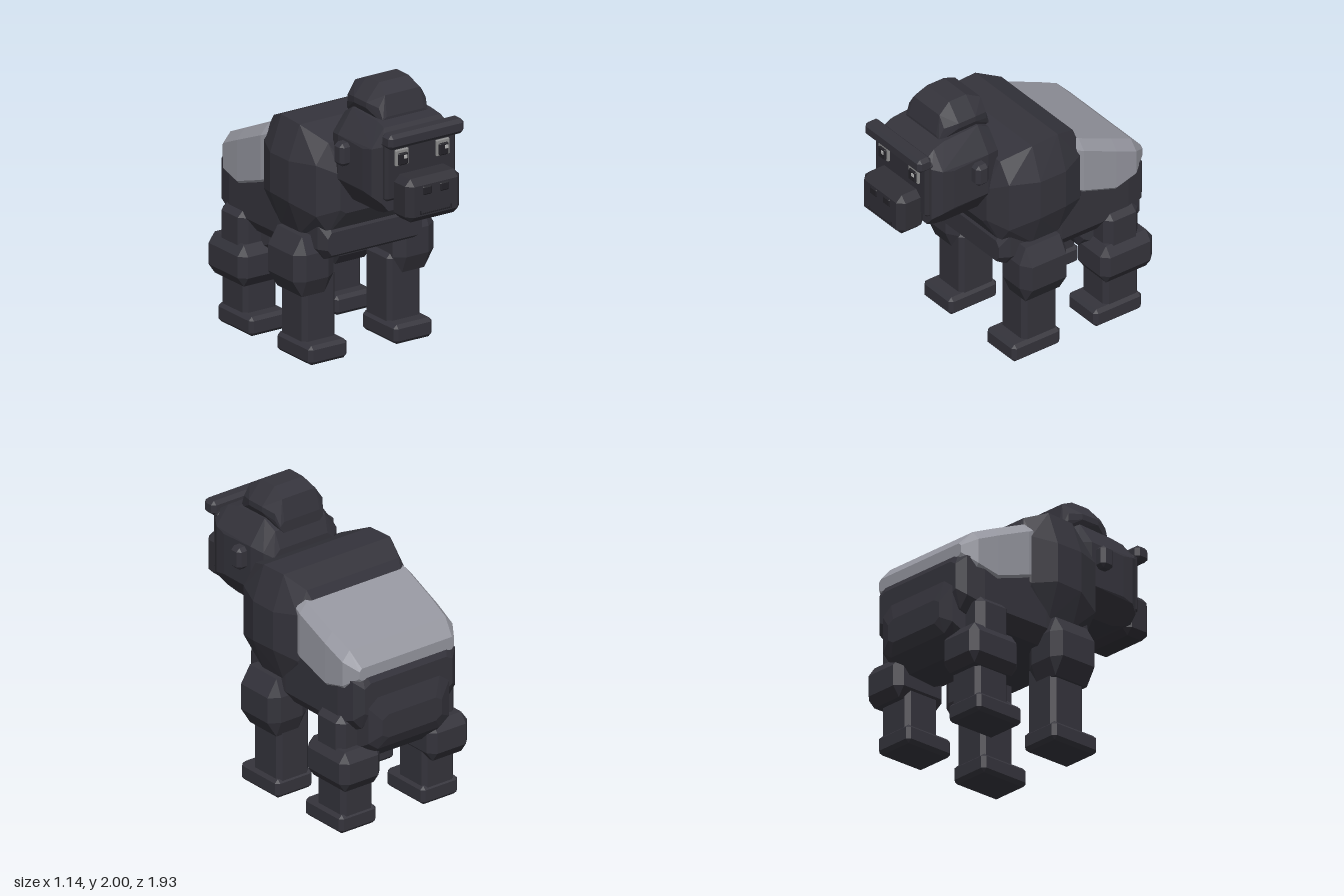
import * as THREE from 'three';
import { ConvexGeometry } from 'three/addons/geometries/ConvexGeometry.js';

const mat = (name, color) => new THREE.MeshStandardMaterial({ name, color });

// Faceted solid from octagonal sections [z, halfWidth, yBottom, yTop, cutX, cutY]
function loft(sections) {
  const pts = [];
  for (const [z, w, y0, y1, cx, cy] of sections) {
    for (const s of [-1, 1]) {
      pts.push(
        new THREE.Vector3(s * w, y0 + cy, z), new THREE.Vector3(s * w, y1 - cy, z),
        new THREE.Vector3(s * (w - cx), y0, z), new THREE.Vector3(s * (w - cx), y1, z));
    }
  }
  return new ConvexGeometry(pts);
}

// Box with chamfered edges, given by its extents on each axis
function block([x0, x1], [y0, y1], [z0, z1], bx, by = bx, bz = bx) {
  const w = (x1 - x0) / 2, h = (y1 - y0) / 2, d = (z1 - z0) / 2;
  const pts = [];
  for (const i of [-1, 1]) for (const j of [-1, 1]) for (const k of [-1, 1]) {
    pts.push(
      new THREE.Vector3(i * w, j * (h - by), k * (d - bz)),
      new THREE.Vector3(i * (w - bx), j * h, k * (d - bz)),
      new THREE.Vector3(i * (w - bx), j * (h - by), k * d));
  }
  return new ConvexGeometry(pts).translate((x0 + x1) / 2, (y0 + y1) / 2, (z0 + z1) / 2);
}

export function createModel() {
  const fur = mat('fur', 0x34333b);
  const skin = mat('skin', 0x302f36);
  const silver = mat('silver fur', 0x94959e);
  const eyeGrey = mat('eye grey', 0x8c8c8c);
  const dark = mat('dark', 0x232228);
  const glint = mat('glint', 0xb4b4b4);

  const model = new THREE.Group();
  const add = (name, geometry, material, parent = model) => {
    const mesh = new THREE.Mesh(geometry, material);
    mesh.name = name;
    parent.add(mesh);
    return mesh;
  };

  // Trunk
  add('chest', loft([
    [0.32, 0.32, 1.06, 1.37, 0.05, 0.03],
    [0.24, 0.46, 0.91, 1.55, 0.1, 0.14],
    [0.04, 0.54, 0.87, 1.64, 0.09, 0.24],
    [-0.17, 0.54, 0.87, 1.65, 0.09, 0.25],
    [-0.34, 0.47, 0.92, 1.58, 0.08, 0.16],
    [-0.38, 0.43, 1.06, 1.5, 0.06, 0.06],
  ]), fur);
  add('torso', loft([
    [0.265, 0.38, 0.76, 0.92, 0.03, 0.04],
    [0.2, 0.42, 0.72, 1.05, 0.06, 0.08],
    [-0.2, 0.46, 0.7, 1.35, 0.08, 0.1],
    [-0.75, 0.46, 0.7, 1.25, 0.08, 0.1],
    [-0.88, 0.43, 0.76, 1.2, 0.07, 0.08],
    [-0.93, 0.37, 0.86, 1.1, 0.05, 0.03],
  ]), fur);
  add('silverBack', loft([
    [-0.32, 0.465, 1.08, 1.535, 0.06, 0.07],
    [-0.37, 0.475, 1.06, 1.515, 0.06, 0.07],
    [-0.64, 0.475, 0.97, 1.4, 0.06, 0.07],
    [-0.81, 0.465, 1.01, 1.325, 0.06, 0.07],
    [-0.91, 0.4, 1.13, 1.22, 0.02, 0.02],
  ]), silver);
  add('pelvis', loft([
    [-0.4, 0.27, 0.68, 0.82, 0.05, 0.03],
    [-0.48, 0.33, 0.53, 0.92, 0.07, 0.08],
    [-0.6, 0.36, 0.47, 1.0, 0.1, 0.1],
    [-0.82, 0.36, 0.49, 1.03, 0.1, 0.1],
    [-0.93, 0.34, 0.6, 0.98, 0.08, 0.06],
    [-0.967, 0.25, 0.68, 0.85, 0.05, 0.03],
  ]), fur);

  // Head
  const head = new THREE.Group();
  head.name = 'head';
  model.add(head);
  add('skull', loft([
    [0.755, 0.29, 1.2, 1.72, 0.05, 0.06],
    [0.69, 0.33, 1.17, 1.765, 0.1, 0.13],
    [0.6, 0.34, 1.15, 1.785, 0.12, 0.17],
    [0.32, 0.34, 1.15, 1.8, 0.12, 0.17],
    [0.22, 0.31, 1.19, 1.74, 0.1, 0.13],
    [0.18, 0.25, 1.26, 1.62, 0.05, 0.05],
  ]), fur, head);
  add('crest', loft([
    [0.61, 0.18, 1.74, 1.8, 0.03, 0.02],
    [0.575, 0.19, 1.72, 1.94, 0.05, 0.08],
    [0.48, 0.225, 1.72, 2, 0.105, 0.12],
    [0.34, 0.225, 1.72, 2, 0.105, 0.12],
    [0.235, 0.2, 1.72, 1.95, 0.06, 0.09],
    [0.2, 0.18, 1.72, 1.8, 0.03, 0.03],
  ]), fur, head);
  add('face', block([-0.285, 0.285], [1.28, 1.7], [0.72, 0.793], 0.02), skin, head);
  add('brow', block([-0.305, 0.305], [1.665, 1.77], [0.755, 0.868], 0.025), fur, head);
  add('muzzle', block([-0.22, 0.22], [1.155, 1.46], [0.74, 0.96], 0.045), skin, head);
  add('mouth', block([-0.12, 0.12], [1.212, 1.222], [0.955, 0.964], 0.001), dark, head);

  for (const s of [-1, 1]) {
    const side = s > 0 ? 'left' : 'right';
    const span = (c, r) => [c - r, c + r];
    // Face details
    add(side + 'Ear', block(span(s * 0.36, 0.05), [1.45, 1.61], [0.355, 0.46], 0.025), fur, head);
    add(side + 'Nostril', block(span(s * 0.07, 0.037), [1.345, 1.405], [0.94, 0.968], 0.008), dark, head);
    add(side + 'MouthCorner', block(span(s * 0.124, 0.005), [1.212, 1.24], [0.955, 0.964], 0.001), dark, head);
    add(side + 'Eye', block(span(s * 0.165, 0.053), [1.525, 1.638], [0.79, 0.812], 0.005), eyeGrey, head);
    add(side + 'Pupil', block(span(s * 0.165, 0.038), [1.53, 1.615], [0.8, 0.826], 0.008), dark, head);
    add(side + 'Glint', block(span(s * 0.165 + 0.014, 0.013), [1.575, 1.601], [0.825, 0.832], 0.002), glint, head);

    // Limbs
    const part = (name, x, y, z, ...bevel) => {
      const xs = s > 0 ? x : [-x[1], -x[0]];
      add(side + name, block(xs, y, z, ...bevel), fur);
    };
    part('UpperArm', [0.24, 0.57], [0.46, 0.885], [-0.2, 0.18], 0.075, 0.12, 0.05);
    part('Forearm', [0.21, 0.477], [0.08, 0.6], [-0.155, 0.13], 0.03);
    part('Hand', [0.19, 0.5], [0, 0.135], [-0.165, 0.232], 0.025);
    part('Thigh', [0.22, 0.5], [0.5, 0.85], [-0.83, -0.545], 0.05);
    part('Knee', [0.2, 0.54], [0.33, 0.62], [-0.92, -0.49], 0.05, 0.07, 0.05);
    part('Shin', [0.21, 0.477], [0.08, 0.45], [-0.83, -0.545], 0.03);
    part('Foot', [0.19, 0.5], [0, 0.135], [-0.84, -0.445], 0.025);
  }
  return model;
}
